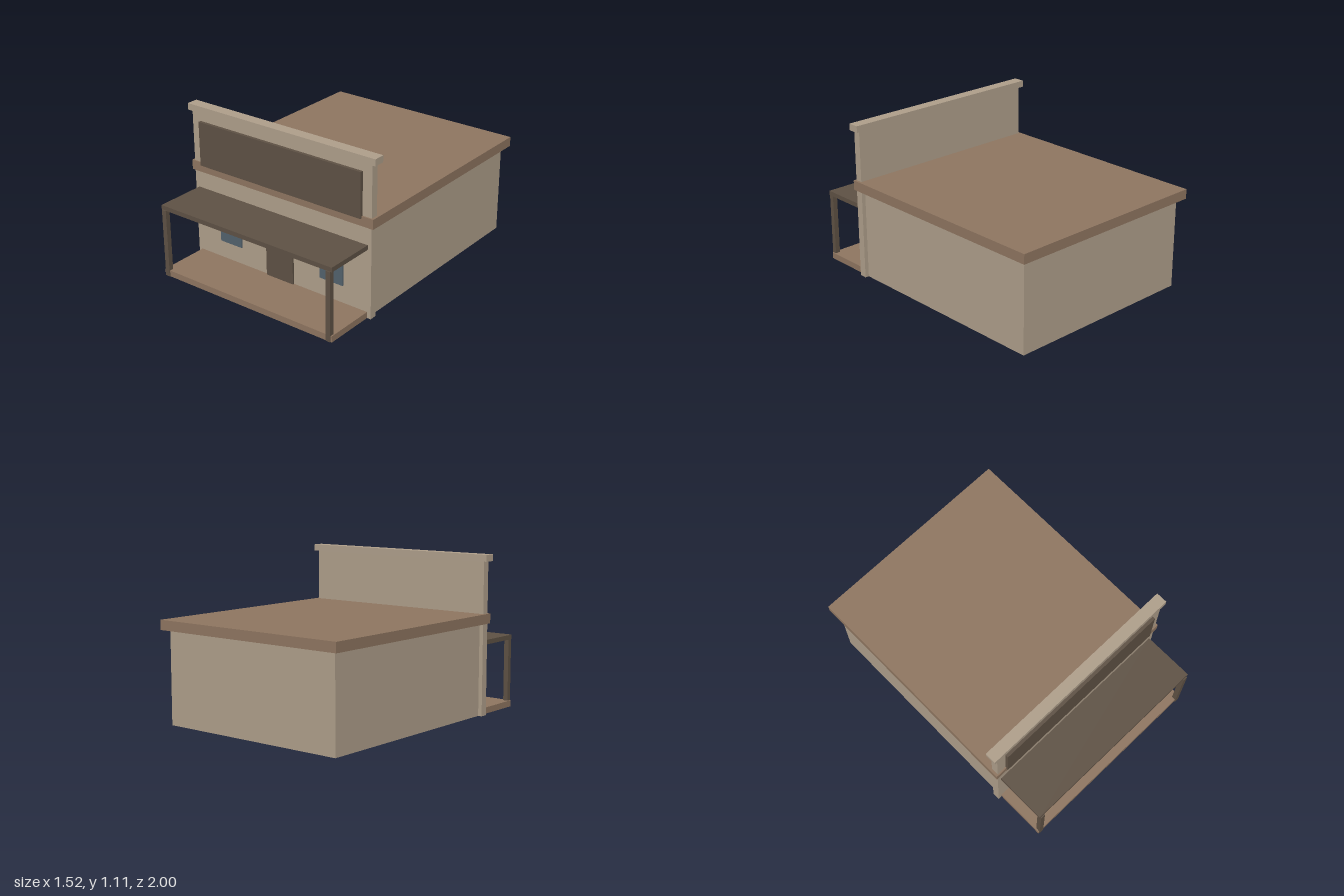
import * as THREE from 'three';

const material = (name, color) => {
  const m = new THREE.MeshStandardMaterial({ color });
  m.name = name;
  return m;
};

export function createModel() {
  const wall = material('wall plaster', 0xae9e8a);
  const wood = material('brown wood', 0x8e7560);
  const dark = material('dark wood', 0x5e5144);
  const glass = material('window glass', 0x52616c);

  const model = new THREE.Group();
  model.name = 'storefront';

  // Box given by its extents on each axis
  const box = (name, mat, [x0, x1], [y0, y1], [z0, z1]) => {
    const mesh = new THREE.Mesh(new THREE.BoxGeometry(x1 - x0, y1 - y0, z1 - z0), mat);
    mesh.position.set((x0 + x1) / 2, (y0 + y1) / 2, (z0 + z1) / 2);
    mesh.name = name;
    model.add(mesh);
  };
  const wide = (h) => [-h, h];

  // Main building and its flat overhanging roof
  box('body', wall, wide(0.705), [0, 0.65], [-0.955, 0.59]);
  box('roof', wood, wide(0.75), [0.64, 0.708], [-1, 0.64]);

  // False front with cap and blank sign board
  box('falseFront', wall, wide(0.733), [0, 1.066], [0.578, 0.631]);
  box('falseFrontCap', wall, wide(0.762), [1.066, 1.112], [0.562, 0.642]);
  box('signBoard', dark, wide(0.663), [0.692, 1.006], [0.631, 0.653]);

  // Porch floor and canopy
  box('porchFloor', wood, wide(0.705), [0, 0.044], [0.631, 0.995]);
  box('porchCanopy', dark, wide(0.705), [0.486, 0.518], [0.631, 0.993]);

  // Door
  box('door', dark, wide(0.112), [0.044, 0.412], [0.631, 0.643]);

  // Mirrored porch posts and windows
  for (const s of [-1, 1]) {
    const side = s > 0 ? 'left' : 'right';
    const span = (a, b) => (s > 0 ? [a, b] : [-b, -a]);
    box(side + 'Post', dark, span(0.662, 0.697), [0, 0.488], [0.966, 1]);
    box(side + 'Window', glass, span(0.332, 0.517), [0.17, 0.368], [0.631, 0.64]);
  }
  return model;
}
